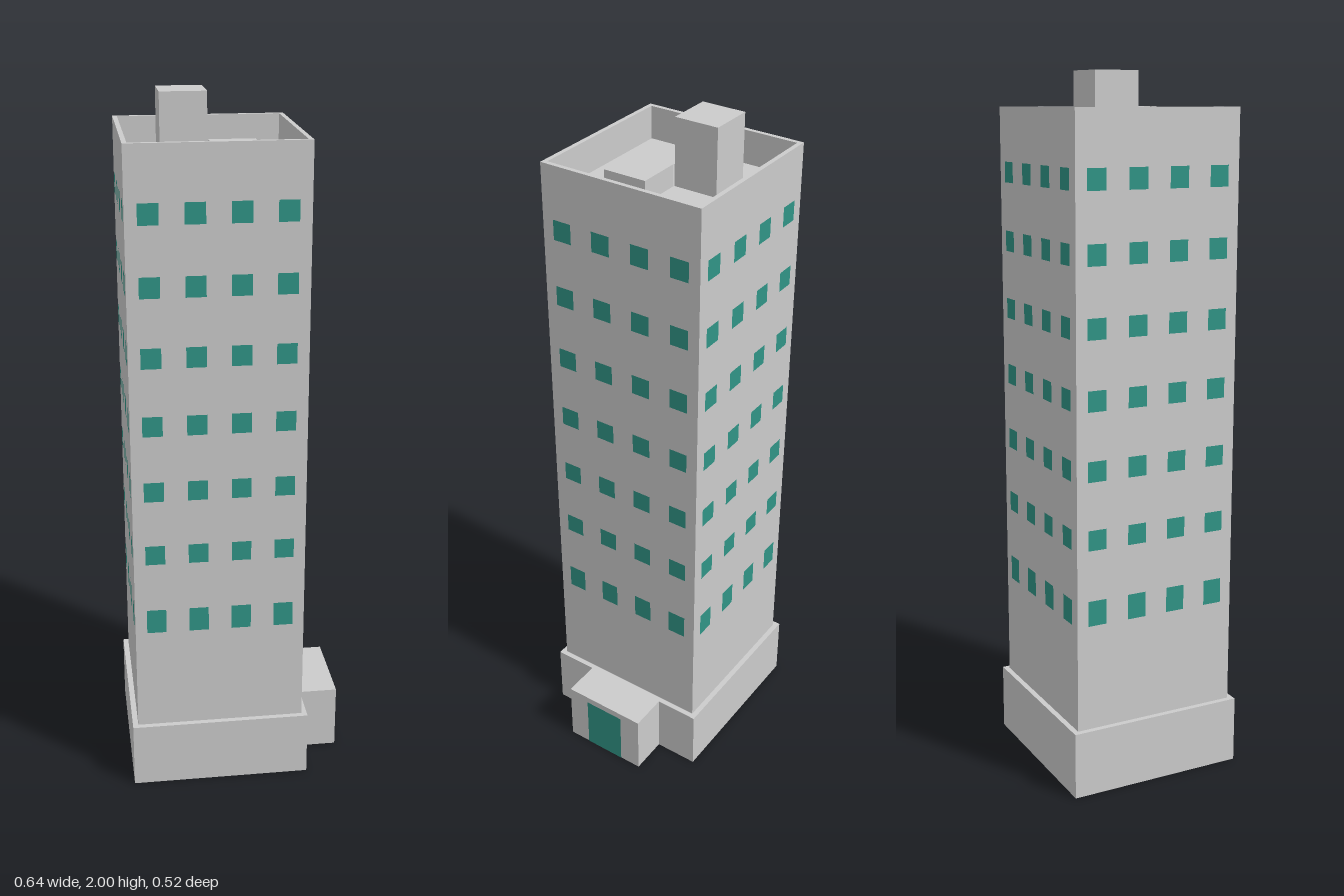
import * as THREE from 'three';

const wallMat = new THREE.MeshStandardMaterial({ color: 0xcccccc });
const glassMat = new THREE.MeshStandardMaterial({ color: 0x309486 });

const CX = -0.058;          // tower axis
const HALF = 0.246;         // tower half width
const BASE_TOP = 0.195, ROOF = 1.81, TOP = 1.905;

// Box given by its x, y and z ranges
function box(name, [x0, x1], [y0, y1], [z0, z1]) {
  const mesh = new THREE.Mesh(new THREE.BoxGeometry(x1 - x0, y1 - y0, z1 - z0), wallMat);
  mesh.position.set((x0 + x1) / 2, (y0 + y1) / 2, (z0 + z1) / 2);
  mesh.name = name;
  return mesh;
}

function squarePath(path, h) {
  path.moveTo(-h, -h);
  path.lineTo(h, -h);
  path.lineTo(h, h);
  path.lineTo(-h, h);
  path.closePath();
  return path;
}

// Thin wall around the roof
function createParapet() {
  const shape = squarePath(new THREE.Shape(), HALF);
  shape.holes.push(squarePath(new THREE.Path(), HALF - 0.013));
  const geo = new THREE.ExtrudeGeometry(shape, { depth: TOP - ROOF, bevelEnabled: false });
  geo.rotateX(-Math.PI / 2);
  const mesh = new THREE.Mesh(geo, wallMat);
  mesh.position.set(CX, ROOF, 0);
  mesh.name = 'parapet';
  return mesh;
}

// One facade of windows, facing +z before it is turned
function createWindows(name, angle) {
  const side = new THREE.Group();
  side.name = name;
  for (let row = 0; row < 7; row++) {
    const height = row === 0 ? 0.073 : 0.058;   // the lowest row is taller
    const y = row === 0 ? 0.54 : 0.557 + row * 0.1945;
    for (let col = 0; col < 4; col++) {
      const pane = new THREE.Mesh(new THREE.PlaneGeometry(0.056, height), glassMat);
      pane.position.set((col - 1.5) * 0.123, y, HALF + 0.001);
      pane.name = 'window';
      side.add(pane);
    }
  }
  side.position.x = CX;
  side.rotation.y = angle;
  return side;
}

export function createModel() {
  const model = new THREE.Group();
  model.name = 'towerBlock';

  // Base, porch and tower
  model.add(
    box('base', [-0.32, 0.204], [0, BASE_TOP], [-0.262, 0.262]),
    box('porch', [0.204, 0.318], [0, BASE_TOP], [-0.131, 0.131]),
    box('tower', [CX - HALF, CX + HALF], [BASE_TOP, ROOF], [-HALF, HALF]),
    createParapet()
  );

  // Roof housings
  model.add(
    box('liftHousing', [-0.189, -0.059], [ROOF, 2], [-0.132, -0.002]),
    box('roofVent', [-0.057, 0.073], [ROOF, 1.872], [0, 0.13])
  );

  // Windows on all four sides
  ['front', 'left', 'back', 'right'].forEach((side, i) =>
    model.add(createWindows(side + 'Windows', i * Math.PI / 2)));

  // Entrance door on the porch
  const door = new THREE.Mesh(new THREE.PlaneGeometry(0.128, 0.175), glassMat);
  door.position.set(0.319, 0.0875, 0);
  door.rotation.y = Math.PI / 2;
  door.name = 'door';
  model.add(door);

  return model;
}
